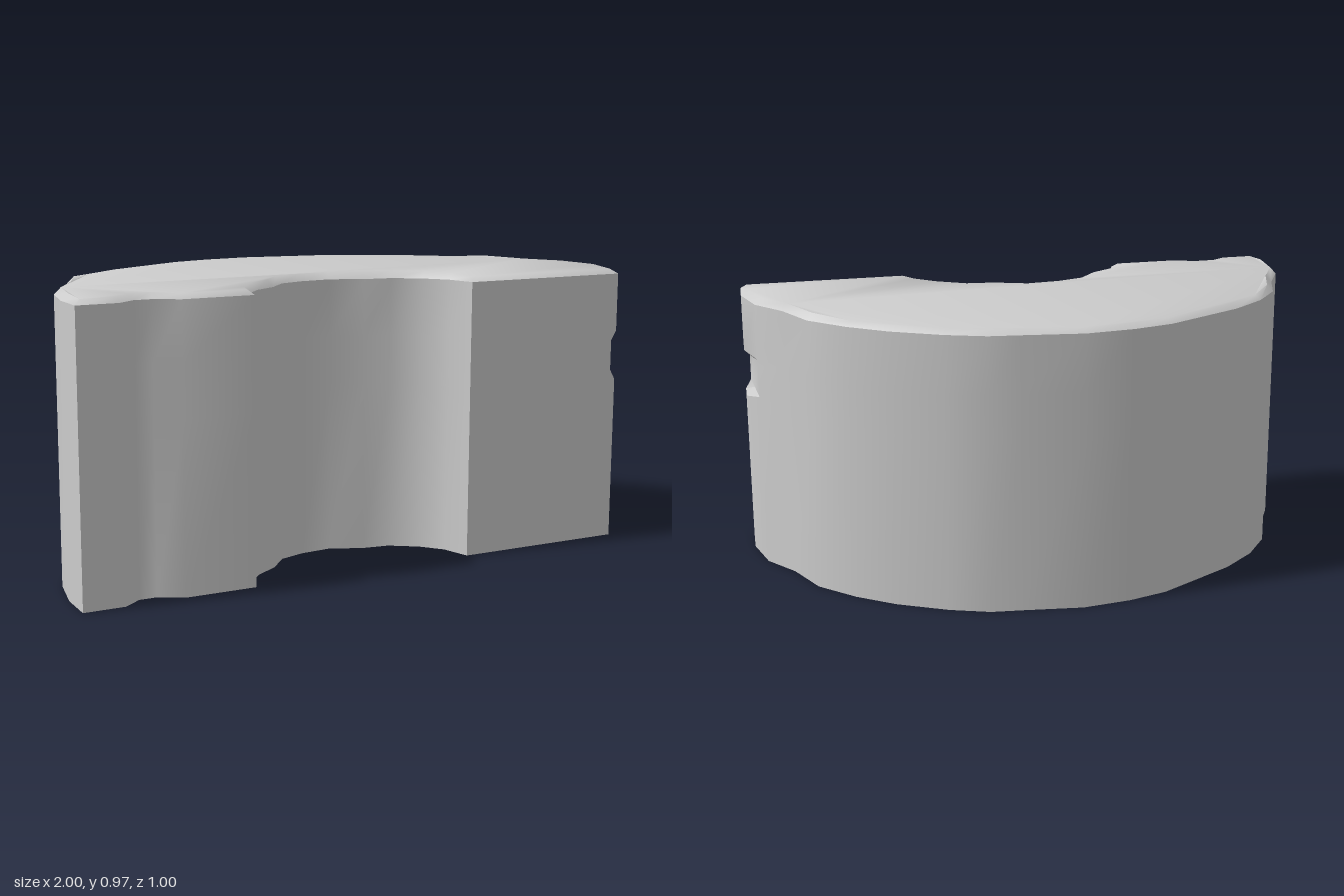
import * as THREE from 'three';
import { toCreasedNormals } from 'three/addons/utils/BufferGeometryUtils.js';

// Plan outline as [x, z]: round the back from left to right, then along the front
const OUTLINE = [
  [-1, 0.5], [-1, 0.37], [-0.97, 0.21], [-0.89, 0.07], [-0.83, -0.08], [-0.73, -0.2],
  [-0.6, -0.3], [-0.31, -0.45], [-0.17, -0.485], [0, -0.5], [0.21, -0.465], [0.31, -0.45],
  [0.44, -0.395], [0.6, -0.3], [0.72, -0.2], [0.83, -0.075], [0.89, 0.085], [0.97, 0.21],
  [1, 0.37], [0.99, 0.5],
  [0.385, 0.5], [0.355, 0.4], [0.295, 0.33], [0.205, 0.27], [0.11, 0.257], [0, 0.21],
  [-0.11, 0.22], [-0.2, 0.25], [-0.27, 0.33], [-0.35, 0.38], [-0.4, 0.44], [-0.415, 0.5],
  [-0.66, 0.5], [-0.74, 0.455], [-0.8, 0.455], [-0.86, 0.5],
];
const N = OUTLINE.length;
const RIM = 0.945;

// Outline moved inward by a distance, with mitred corners
function inset(distance) {
  const normal = (a, b) => new THREE.Vector2(b[1] - a[1], a[0] - b[0]).normalize();
  return OUTLINE.map((p, i) => {
    const n1 = normal(OUTLINE[(i + N - 1) % N], p);
    const n2 = normal(p, OUTLINE[(i + 1) % N]);
    const k = distance / (1 + n1.dot(n2));
    return [p[0] - (n1.x + n2.x) * k, p[1] - (n1.y + n2.y) * k];
  });
}

// Outward faces between stacked rings of [x, y, z] points
function stitch(rings, out) {
  for (let r = 0; r < rings.length - 1; r++) {
    for (let i = 0; i < N; i++) {
      const j = (i + 1) % N;
      const [a, b, c, d] = [rings[r][j], rings[r][i], rings[r + 1][i], rings[r + 1][j]];
      out.push(...a, ...b, ...c, ...a, ...c, ...d);
    }
  }
}

function makeMesh(name, positions, crease) {
  const geometry = new THREE.BufferGeometry();
  geometry.setAttribute('position', new THREE.Float32BufferAttribute(positions, 3));
  const material = new THREE.MeshStandardMaterial({ color: 0xcccccc, side: THREE.DoubleSide });
  const mesh = new THREE.Mesh(toCreasedNormals(geometry, crease), material);
  mesh.name = name;
  return mesh;
}

export function createModel() {
  const group = new THREE.Group();
  group.name = 'halfRingBlock';

  // Upright walls, with a shallow groove cut into the left end; open underneath
  const levels = [
    { y: 0 }, { y: 0.57, slope: 0.02 }, { y: 0.605, slope: 0.01, cut: true },
    { y: 0.71, slope: 0.018, cut: true }, { y: 0.745, slope: 0.005 }, { y: RIM },
  ];
  const wallRings = levels.map(({ y, slope = 0, cut }) => OUTLINE.map(([x, z]) => {
    const back = THREE.MathUtils.clamp((0.5 - z) / 0.29, 0, 1);
    return [cut ? Math.min(x, 0.97) : x, y + slope * back, z];
  }));
  const walls = [];
  stitch(wallRings, walls);
  group.add(makeMesh('walls', walls, 0.65));

  // Bevelled rim and slightly crowned top
  const topOutline = inset(0.022);
  const crown = (z) => 0.961 + 0.007 * THREE.MathUtils.smoothstep(z, -0.2, -0.05)
    * (1 - THREE.MathUtils.smoothstep(z, 0.35, 0.48));
  const topRing = topOutline.map(([x, z]) => [x, crown(z), z]);
  const top = [];
  stitch([wallRings[wallRings.length - 1], topRing], top);
  const contour = topOutline.map(([x, z]) => new THREE.Vector2(x, z));
  for (const face of THREE.ShapeUtils.triangulateShape(contour, [])) {
    const [a, b, c] = face.map((i) => topRing[i]);
    const up = (b[2] - a[2]) * (c[0] - a[0]) - (b[0] - a[0]) * (c[2] - a[2]) > 0;
    top.push(...a, ...(up ? b : c), ...(up ? c : b));
  }
  group.add(makeMesh('bevelledTop', top, 0.9));

  return group;
}
